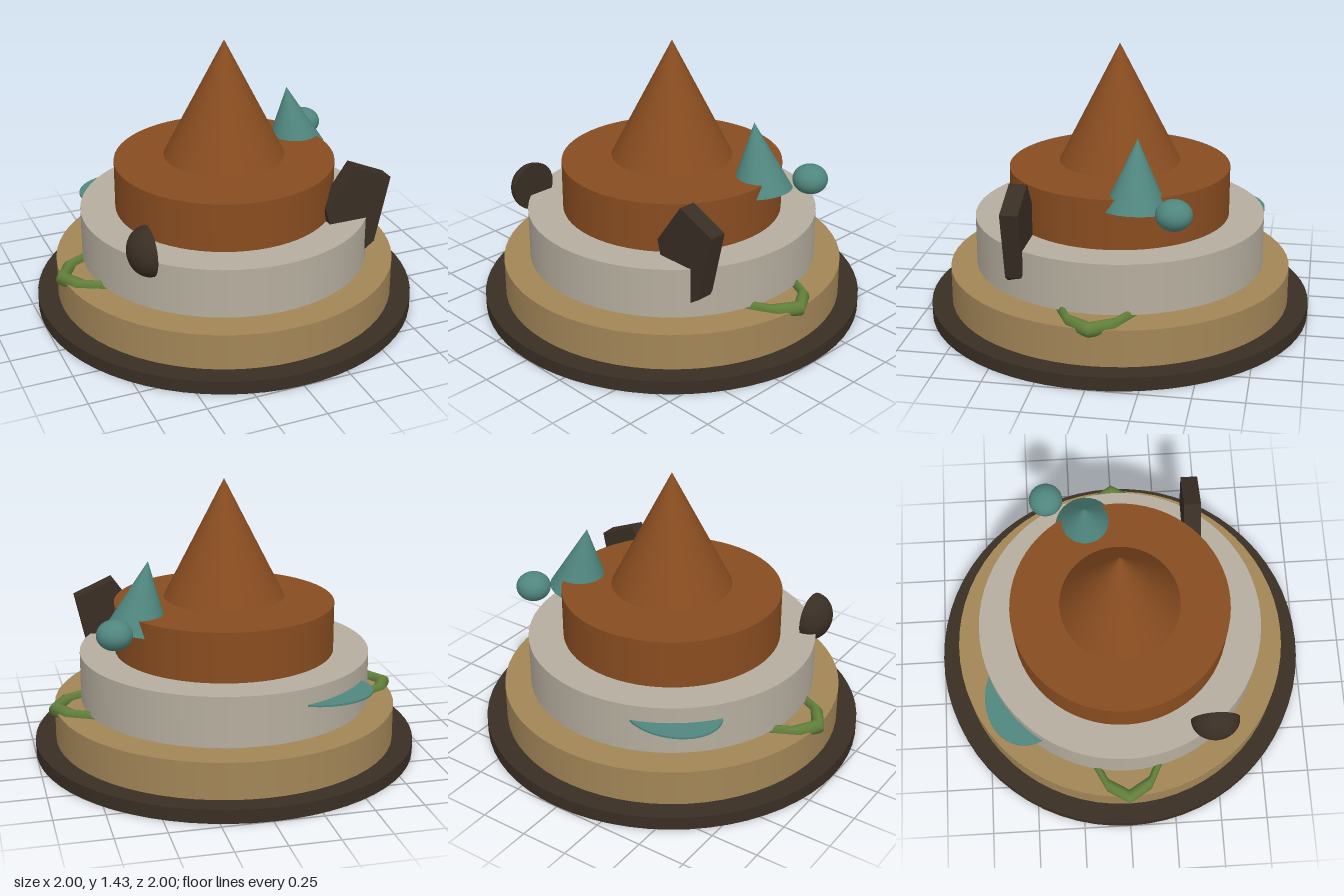
import * as THREE from 'three';

const mat = (name, color) => {
  const m = new THREE.MeshStandardMaterial({ color });
  m.name = name;
  return m;
};

export function createModel() {
  const group = new THREE.Group();
  const dark = mat('dark brown', 0x392e24);
  const tan = mat('tan', 0xa28557);
  const stone = mat('pale stone', 0xb5ad9e);
  const rust = mat('rust brown', 0x884c20);
  const teal = mat('teal', 0x4f867e);
  const green = mat('moss green', 0x617f3b);

  const add = (name, geometry, material, x = 0, y = 0, z = 0) => {
    const mesh = new THREE.Mesh(geometry, material);
    mesh.name = name;
    mesh.position.set(x, y, z);
    group.add(mesh);
    return mesh;
  };

  // Stacked round tiers: name, radius, bottom, top, material
  const tiers = [
    ['base', 1, 0, 0.07, dark],
    ['lowerTier', 0.893, 0.07, 0.26, tan],
    ['middleTier', 0.755, 0.275, 0.535, stone],
    ['upperTier', 0.572, 0.535, 0.792, rust],
  ];
  for (const [name, r, y0, y1, m] of tiers) {
    add(name, new THREE.CylinderGeometry(r, r, y1 - y0, 64), m, 0, (y0 + y1) / 2, 0);
  }

  // Pointed top floating just above the upper tier
  add('spire', new THREE.ConeGeometry(0.313, 0.615, 64), rust, 0, 1.1225, 0);

  // Flattened ring whose ends poke out at both sides
  const ring = new THREE.TorusGeometry(0.893, 0.037, 12, 16);
  ring.rotateX(Math.PI / 2).scale(1, 1, 0.333);
  add('sideLoop', ring, green, 0, 0.259, 0);

  // Leaning small cone, built between its base centre and its tip
  const foot = new THREE.Vector3(0.482, 0.713, -0.157);
  const tip = new THREE.Vector3(0.425, 1.062, -0.157);
  const axis = tip.clone().sub(foot);
  const mid = foot.clone().add(tip).multiplyScalar(0.5);
  const cone = add('leaningCone', new THREE.ConeGeometry(0.161, axis.length(), 32), teal, mid.x, mid.y, mid.z);
  cone.quaternion.setFromUnitVectors(new THREE.Vector3(0, 1, 0), axis.normalize());

  // Slightly flattened ball
  const ball = new THREE.SphereGeometry(0.09, 32, 20).scale(1, 0.84, 1);
  add('ball', ball, teal, 0.631, 0.757, -0.362);

  // Thin oval shelf at the back
  const shelf = new THREE.CylinderGeometry(1, 1, 0.01, 48).scale(0.26, 1, 0.21);
  add('ovalShelf', shelf, teal, -0.37, 0.445, -0.53);

  // Half dome bulging towards -x, closed by its flat end
  const dome = new THREE.LatheGeometry(
    Array.from({ length: 13 }, (_, i) => {
      const a = (i / 12) * Math.PI / 2;
      return new THREE.Vector2(0.128 * Math.cos(a), 0.11 * Math.sin(a));
    }), 32);
  dome.rotateZ(Math.PI / 2);
  add('halfDome', dome, dark, -0.58, 0.582, 0.46);
  const cap = new THREE.CircleGeometry(0.128, 32).rotateY(Math.PI / 2);
  add('halfDomeCap', cap, dark, -0.58, 0.582, 0.46);

  // Upright five-sided slab
  const outline = [[0.37, 0.612], [0.465, 0.26], [0.652, 0.39], [0.73, 0.742], [0.525, 0.832]];
  const slab = new THREE.ExtrudeGeometry(
    new THREE.Shape(outline.map(([x, y]) => new THREE.Vector2(x, y))),
    { depth: 0.09, bevelEnabled: false });
  add('fiveSidedSlab', slab, dark, 0, 0, 0.37);

  return group;
}
